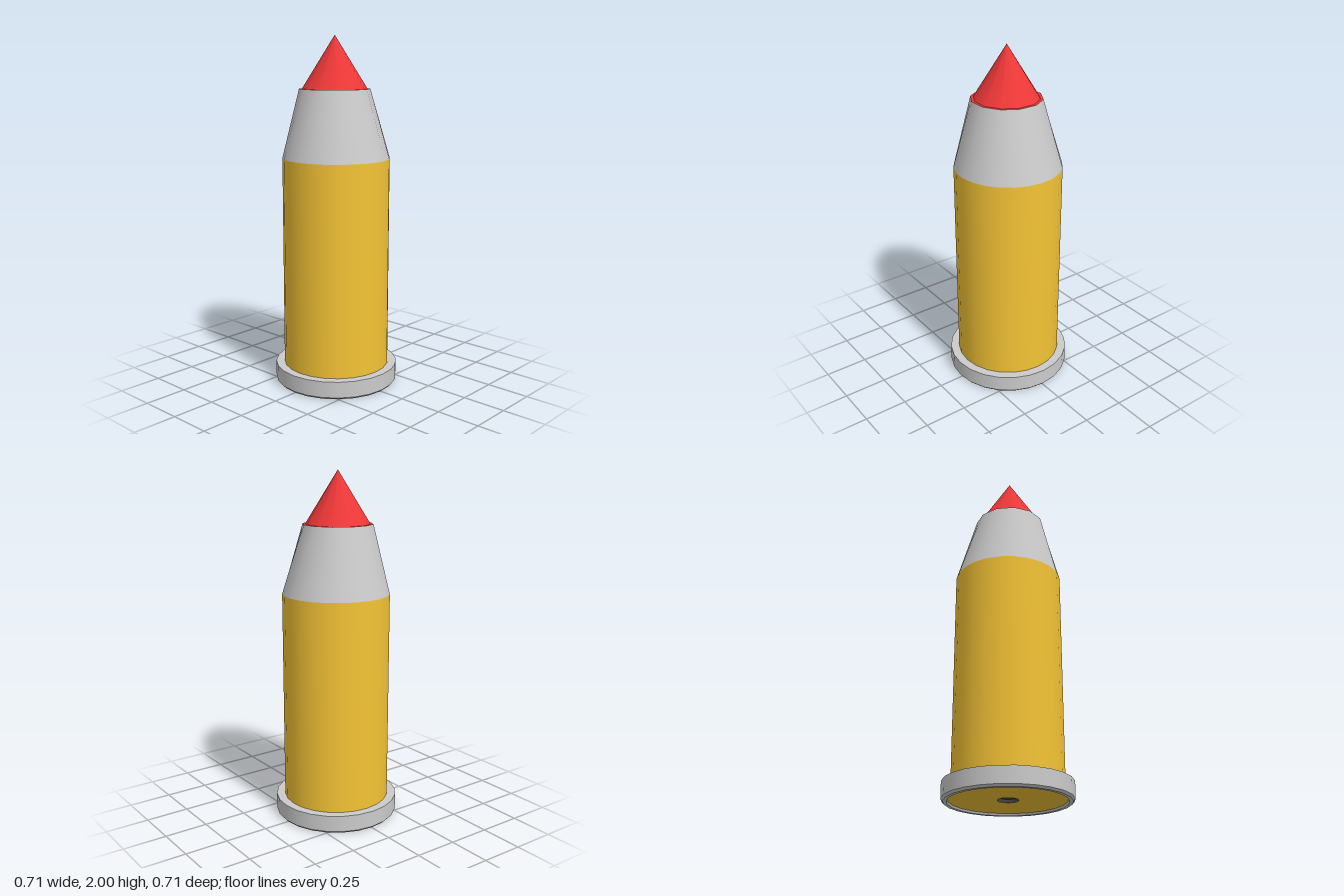
import * as THREE from 'three';
import { mergeGeometries } from 'three/addons/utils/BufferGeometryUtils.js';

const paint = (color) => new THREE.MeshStandardMaterial({ color, side: THREE.DoubleSide });

// Lathe with a sharp edge at each profile point and smooth sides around.
function turned(profile, sides, phase = 0) {
  const bands = [];
  for (let i = 0; i < profile.length - 1; i++) {
    const pair = [profile[i], profile[i + 1]].map(([r, y]) => new THREE.Vector2(r, y));
    bands.push(new THREE.LatheGeometry(pair, sides, phase));
  }
  return mergeGeometries(bands);
}

export function createModel() {
  const group = new THREE.Group();
  const grey = paint(0xcccccc);
  const yellow = paint(0xf5c435);
  const red = paint(0xf03838);
  const dark = paint(0x444444);

  const add = (name, geometry, material) => {
    const mesh = new THREE.Mesh(geometry, material);
    mesh.name = name;
    group.add(mesh);
  };

  const R = 0.306;        // casing radius
  const shoulderY = 1.315;
  const noseY = 1.705;
  const noseR = 0.2;
  const shift = -0.012;   // the nose sits slightly off centre

  // Base rim: an open ring with a flat top and bottom
  add('baseRim', turned([[0.32, 0.012], [0.325, 0], [0.345, 0], [0.356, 0.012],
    [0.356, 0.105], [R, 0.105]], 24), grey);

  // Base plate, slightly recessed, with a shallow cup in its middle
  add('basePlate', turned([[0.057, 0.012], [0.32, 0.012]], 24), yellow);
  add('baseCup', turned([[0, 0.03], [0.057, 0.03], [0.057, 0.012]], 16), dark);

  // Straight casing
  add('casing', turned([[R, 0.105], [R, shoulderY]], 24), yellow);

  // Shoulder: 24-sided at the foot, narrowing to a 12-sided mouth
  const shoulder = new THREE.CylinderGeometry(noseR, R, noseY - shoulderY, 24, 1, true);
  shoulder.translate(0, (noseY + shoulderY) / 2, 0);
  const pos = shoulder.attributes.position;
  for (let i = 0; i < pos.count; i++) {
    if (pos.getY(i) < noseY - 0.01) continue;
    const k = (i % 25) % 2 ? 1 : Math.cos(Math.PI / 12);
    pos.setX(i, pos.getX(i) * k + shift);
    pos.setZ(i, pos.getZ(i) * k);
  }
  add('shoulder', shoulder, grey);

  // Pointed tip with a narrow flat lip around its foot
  const tip = turned([[noseR, noseY], [0.184, noseY], [0, 2]], 12, Math.PI / 12);
  tip.translate(shift, 0, 0);
  add('tip', tip, red);

  return group;
}
